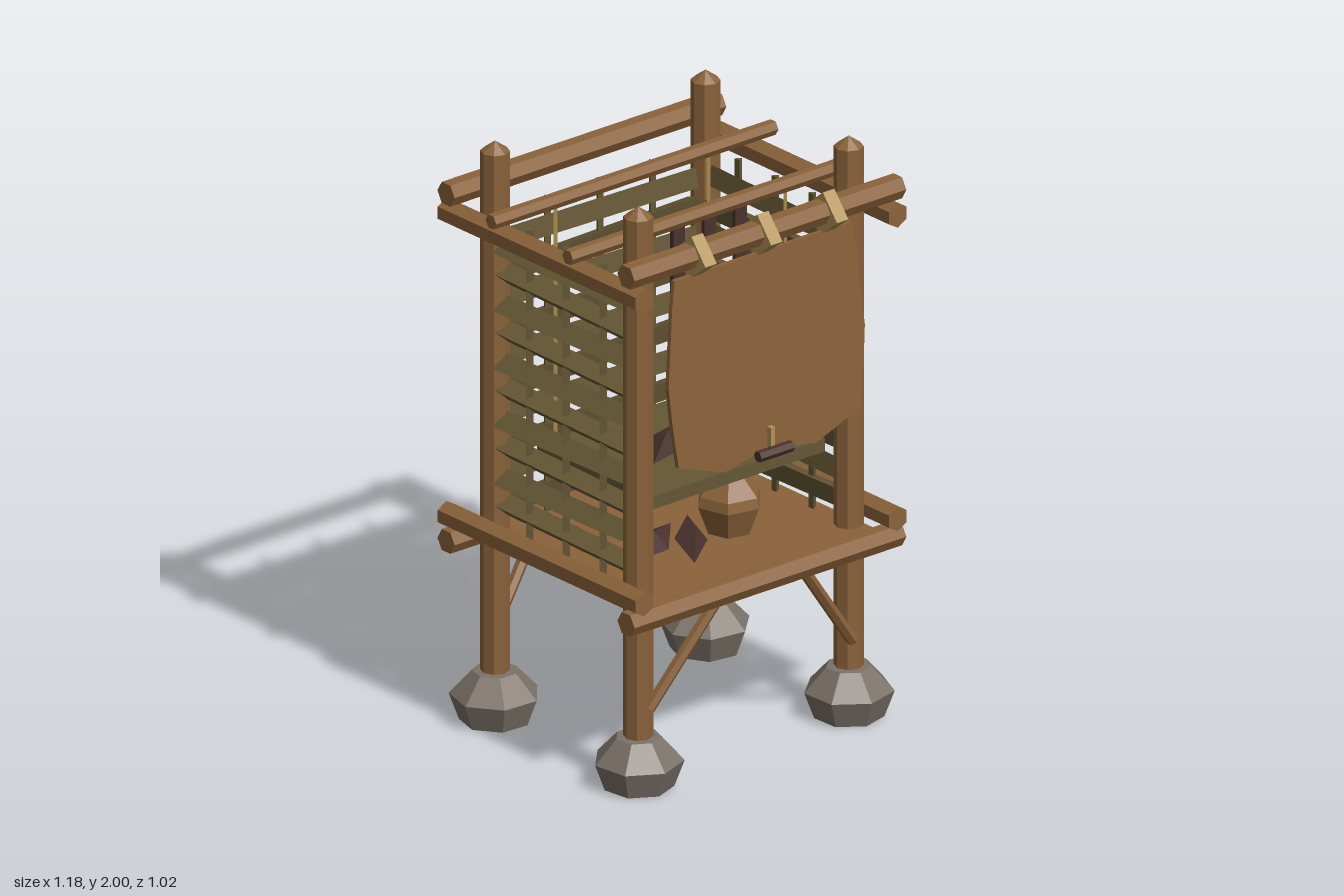
import * as THREE from 'three';

const mat = (name, color, extra = {}) => {
  const m = new THREE.MeshStandardMaterial({ color, flatShading: true, ...extra });
  m.name = name;
  return m;
};

export function createModel() {
  const wood = mat('wood', 0x8b623a);
  const reed = mat('reed', 0x655735);
  const stone = mat('stone', 0x7b7168);
  const rope = mat('rope', 0xb29355);
  const dark = mat('darkBrown', 0x4b322e);

  const model = new THREE.Group();
  const add = (name, geo, material, pos = [0, 0, 0], rot = [0, 0, 0], parent = model) => {
    const mesh = new THREE.Mesh(geo, material);
    mesh.name = name;
    mesh.position.set(...pos);
    mesh.rotation.set(...rot);
    parent.add(mesh);
    return mesh;
  };
  const box = (w, h, d) => new THREE.BoxGeometry(w, h, d);
  const UP = new THREE.Vector3(0, 1, 0);
  // Straight pole between two points
  const pole = (name, a, b, r, sides, material, spin = 0) => {
    const p = new THREE.Vector3(...a), q = new THREE.Vector3(...b);
    const geo = new THREE.CylinderGeometry(r, r, p.distanceTo(q), sides);
    geo.rotateY(spin);
    const mesh = add(name, geo, material);
    mesh.position.copy(p).add(q).multiplyScalar(0.5);
    mesh.quaternion.setFromUnitVectors(UP, q.sub(p).normalize());
    return mesh;
  };

  const postX = 0.44, front = 0.34, back = -0.36;

  // Posts with pointed tops, standing in foundation stones
  const stoneProfile = [[0, 0], [0.115, 0], [0.148, 0.09], [0.075, 0.17], [0, 0.175]]
    .map(([x, y]) => new THREE.Vector2(x, y));
  let n = 0;
  for (const x of [-postX, postX]) {
    for (const z of [back, front]) {
      pole('post', [x, 0.1, z], [x, 1.965, z], 0.048, 8, wood);
      add('postCap', new THREE.ConeGeometry(0.048, 0.035, 8), wood, [x, 1.9825, z]);
      add('foundationStone', new THREE.LatheGeometry(stoneProfile, 7), stone, [x, 0, z], [0, 0.4 + 1.3 * n++, 0]);
    }
  }

  // Frame beams, lower and upper, lashed outside the posts
  for (const [yLong, ySide] of [[0.62, 0.693], [1.82, 1.742]]) {
    for (const z of [0.43, -0.45]) pole('crossBeam', [-0.568, yLong, z], [0.568, yLong, z], 0.042, 6, wood);
    for (const x of [-0.53, 0.53]) pole('sideBeam', [x, ySide, -0.493], [x, ySide, 0.475], 0.042, 6, wood);
  }

  // Roof rafters
  for (const z of [0.17, -0.205]) pole('rafter', [-0.59, 1.81, z], [0.59, 1.81, z], 0.026, 6, wood);

  // Floor
  add('floor', box(0.96, 0.045, 0.86), wood, [0, 0.635, -0.01]);

  // Diagonal braces under the floor
  for (const s of [-1, 1]) {
    pole('frontBrace', [s * 0.425, 0.27, 0.375], [s * 0.17, 0.61, 0.425], 0.02, 6, wood);
    pole('backBrace', [s * 0.425, 0.27, -0.395], [s * 0.17, 0.61, -0.445], 0.02, 6, wood);
  }

  // Woven walls: three-sided slats over upright sticks, built facing +z
  const wall = (name, halfLength, stickXs) => {
    const g = new THREE.Group();
    g.name = name;
    for (let i = 0; i < 10; i++) {
      const s = i % 2 ? 1 : -1;
      const slat = new THREE.CylinderGeometry(0.04, 0.04, halfLength * 2, 3);
      slat.rotateZ(Math.PI / 2);
      slat.rotateX(s * 0.18);
      add('slat', slat, reed, [0, 0.745 + 0.1 * i, s * 0.004], [0, 0, s * 0.016], g);
    }
    for (const x of stickXs) {
      add('stick', new THREE.CylinderGeometry(0.014, 0.014, 1.09, 3), reed, [x, 1.2, 0], [0, 0, 0], g);
    }
    model.add(g);
    return g;
  };
  const backWall = wall('backWall', 0.4, [-0.22, 0, 0.22]);
  backWall.position.z = -0.365;
  backWall.rotation.y = Math.PI;
  for (const s of [-1, 1]) {
    const side = wall('sideWall', 0.315, [-0.18, 0, 0.18]);
    side.position.set(s * 0.438, 0, -0.015);
    side.rotation.y = s * Math.PI / 2;
  }

  // Hide door flap hanging from the front beam, tilted out at the foot
  const flapShape = new THREE.Shape([
    [-0.37, 0], [-0.385, -0.1], [-0.41, -0.36], [-0.4, -0.48], [-0.38, -0.635], [-0.19, -0.7],
    [0, -0.665], [0.19, -0.705], [0.38, -0.635], [0.4, -0.48], [0.41, -0.36], [0.385, -0.1], [0.37, 0],
  ].map(([x, y]) => new THREE.Vector2(x, y)));
  const flap = new THREE.ExtrudeGeometry(flapShape, { depth: 0.016, bevelEnabled: false });
  add('doorFlap', flap, wood, [0, 1.752, 0.42], [-0.05, 0, 0]);

  // Rope lashings around the beam
  for (const x of [-0.275, 0, 0.275]) {
    const wrap = new THREE.CylinderGeometry(0.077, 0.077, 0.048, 4);
    wrap.rotateZ(Math.PI / 2);
    add('lashing', wrap, rope, [x, 1.81, 0.427], [0.1, 0, 0]);
  }

  // Door toggle on a short loop
  add('toggleLoop', box(0.018, 0.07, 0.02), rope, [0, 1.125, 0.474]);
  pole('toggle', [-0.07, 1.08, 0.492], [0.07, 1.08, 0.492], 0.019, 6, dark);

  // Hanging shelf
  add('shelf', box(0.725, 0.045, 0.56), reed, [0, 0.943, 0.034]);
  for (const x of [-0.32, 0.32]) {
    for (const z of [0.17, -0.205]) pole('shelfRope', [x, 0.96, z], [x, 1.8, z], 0.008, 4, rope);
  }

  // Dried strips hung from the front rafter
  for (const x of [-0.13, 0, 0.13]) add('driedStrip', box(0.048, 0.42, 0.016), dark, [x, 1.59, 0.17]);

  // Sack on the floor
  const sackProfile = [[0, 0.658], [0.075, 0.658], [0.112, 0.755], [0.105, 0.79], [0.045, 0.86], [0.068, 0.905], [0, 0.895]]
    .map(([x, y]) => new THREE.Vector2(x, y));
  add('sack', new THREE.LatheGeometry(sackProfile, 6), wood, [0.12, 0, 0.13], [0, 0.3, 0]);

  // Dark lumps on the floor and shelf
  const lumps = [
    [-0.21, 0.715, 0.15, 0.3], [-0.1, 0.71, 0.2, 1.1], [-0.13, 1.02, 0.11, 0.5],
  ];
  for (const [x, y, z, turn] of lumps) {
    const lump = new THREE.OctahedronGeometry(0.065);
    lump.scale(1.4, 0.85, 0.85);
    add('lump', lump, dark, [x, y, z], [0.3, turn, 0.35]);
  }

  return model;
}
